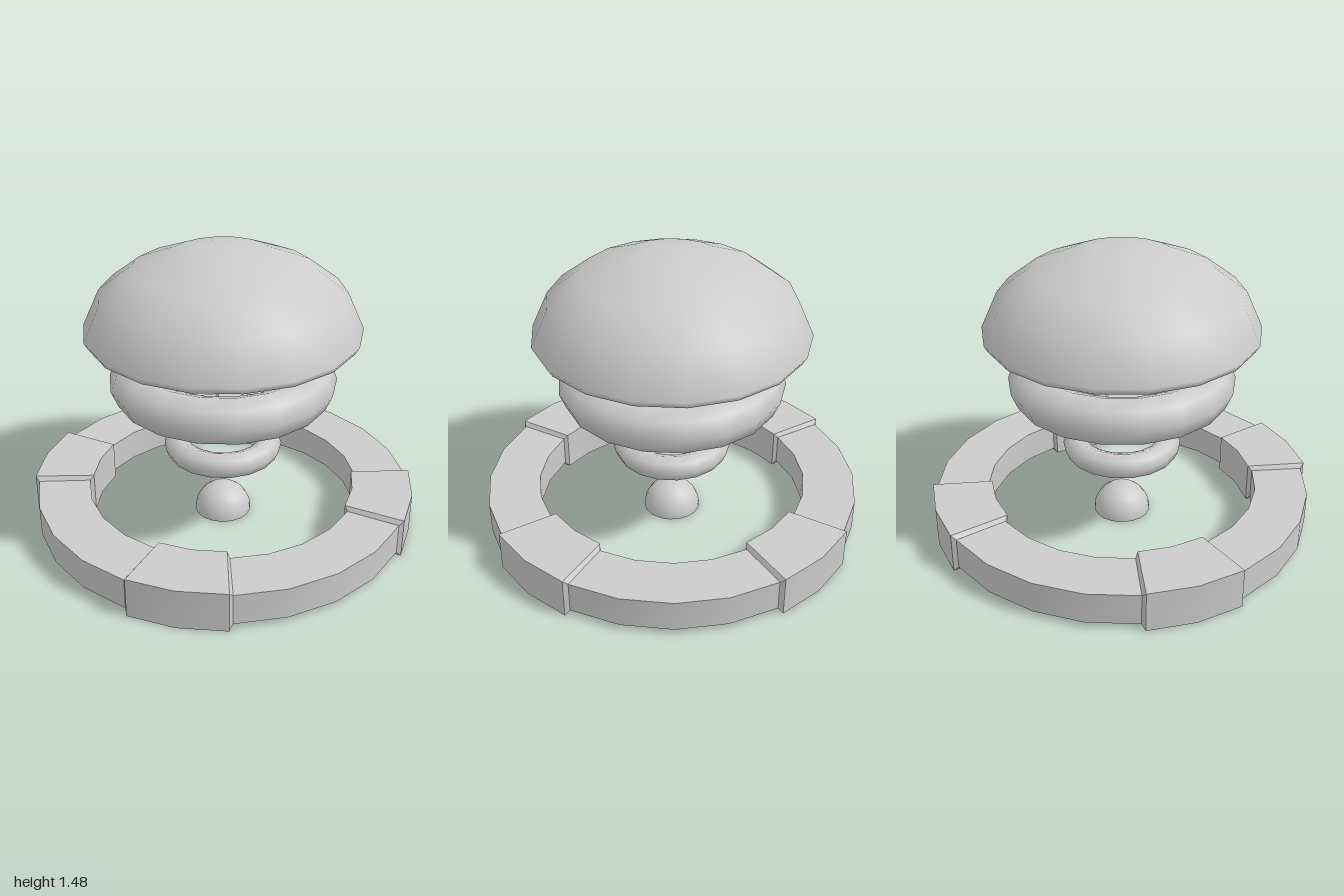
import * as THREE from 'three';
import { toCreasedNormals } from 'three/addons/utils/BufferGeometryUtils.js';

const SIDES = 18;
const solid = new THREE.MeshStandardMaterial({ color: 0xcccccc });
const shell = new THREE.MeshStandardMaterial({ color: 0xcccccc, side: THREE.DoubleSide });

function addPart(group, name, geometry, material = solid) {
  const mesh = new THREE.Mesh(geometry, material);
  mesh.name = name;
  group.add(mesh);
  return mesh;
}

// Rectangular cross-sections (outer r, inner r, bottom, top) swept round the circle,
// swelling into a raised block with chamfered ends at each quarter turn
function baseRingGeometry() {
  const raised = [1, 0.69, 0, 0.21];
  const recessed = [0.98, 0.71, 0.025, 0.187];
  const sections = [];
  for (let quarter = 0; quarter < 360; quarter += 90) {
    for (const a of [-14, 0, 14, 15, 30, 45, 60, 75]) {
      const [ro, ri, y0, y1] = Math.abs(a) < 15 ? raised : recessed;
      const t = THREE.MathUtils.degToRad(quarter + a);
      sections.push([[ro, y0], [ro, y1], [ri, y1], [ri, y0]]
        .map(([r, y]) => [r * Math.sin(t), y, r * Math.cos(t)]));
    }
  }
  const positions = [];
  sections.forEach((s, i) => {
    const n = sections[(i + 1) % sections.length];
    for (let k = 0; k < 4; k++) {
      const j = (k + 1) % 4;
      positions.push(...s[k], ...n[k], ...n[j], ...s[k], ...n[j], ...s[j]);
    }
  });
  const g = new THREE.BufferGeometry();
  g.setAttribute('position', new THREE.Float32BufferAttribute(positions, 3));
  return toCreasedNormals(g, 0.5);
}

// Horizontal torus with a corner on the z axis
function floatingRing(group, name, radius, tube, y) {
  const g = new THREE.TorusGeometry(radius, tube, 8, SIDES);
  g.rotateZ(Math.PI / 2).rotateX(Math.PI / 2);
  addPart(group, name, g).position.y = y;
}

export function createModel() {
  const model = new THREE.Group();
  model.name = 'floatingDomeStack';

  addPart(model, 'baseRing', baseRingGeometry());

  // Small open hemisphere at the centre of the base
  addPart(model, 'centreDome',
    new THREE.SphereGeometry(0.15, SIDES, 6, 0, Math.PI * 2, 0, Math.PI / 2), shell);

  floatingRing(model, 'smallRing', 0.242, 0.066, 0.408);
  floatingRing(model, 'largeRing', 0.463, 0.116, 0.786);

  // Hollow cap with a rim curled inwards
  const profile = [
    [0.64, 1.022], [0.675, 1.03], [0.695, 1.065], [0.61, 1.25],
    [0.45, 1.37], [0.245, 1.449], [0.12, 1.47], [0, 1.475],
  ].map(([r, y]) => new THREE.Vector2(r, y));
  addPart(model, 'domeCap', new THREE.LatheGeometry(profile, SIDES), shell);

  return model;
}
